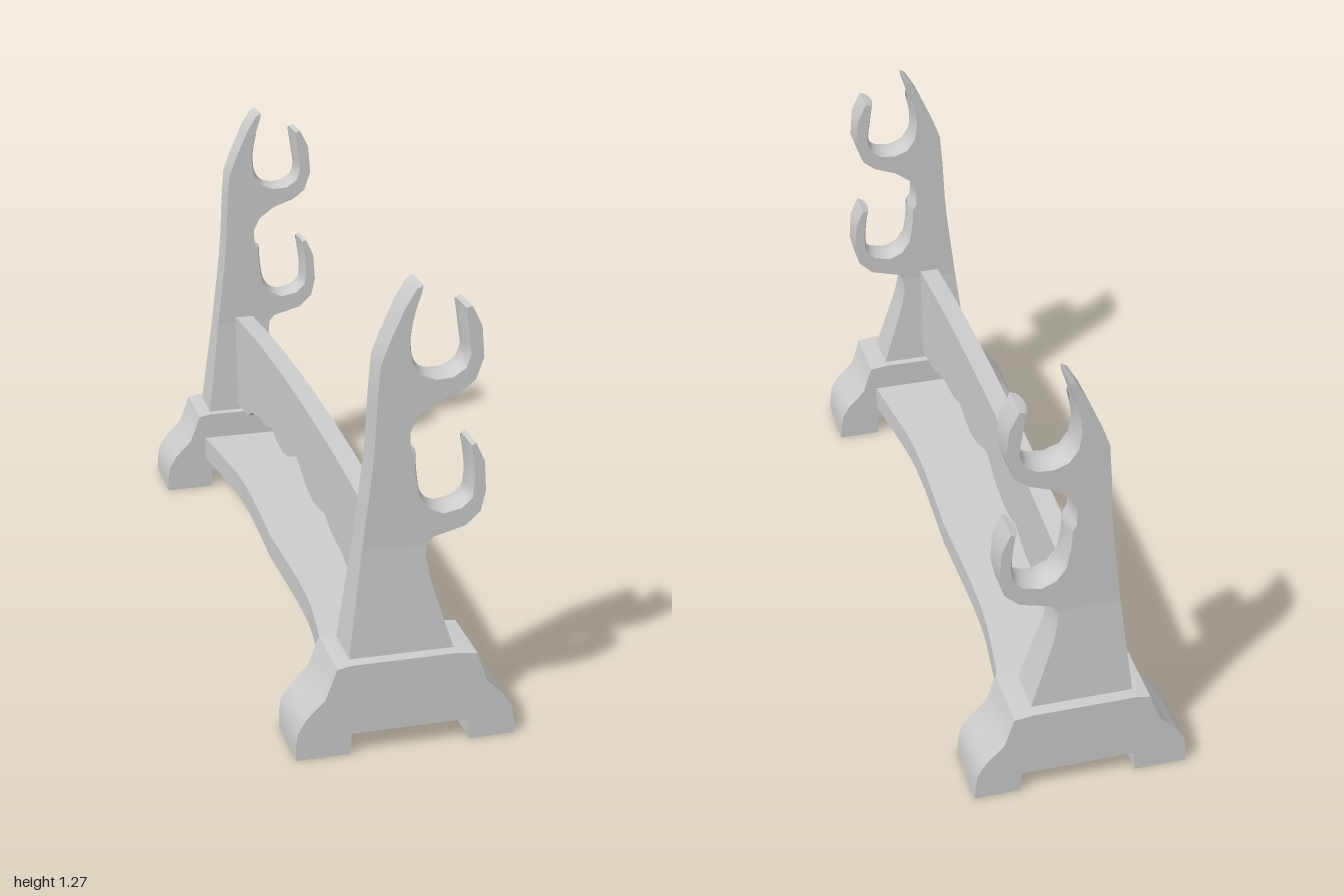
import * as THREE from 'three';
import { toCreasedNormals } from 'three/addons/utils/BufferGeometryUtils.js';

const grey = new THREE.MeshStandardMaterial({ color: 0xcccccc });
const greyThin = new THREE.MeshStandardMaterial({ color: 0xcccccc, side: THREE.DoubleSide });

// Extrudes an outline symmetrically about z = 0
function slab(points, depth) {
  const shape = new THREE.Shape(points.map(([x, y]) => new THREE.Vector2(x, y)));
  const geometry = new THREE.ExtrudeGeometry(shape, { depth, bevelEnabled: false });
  return geometry.translate(0, 0, -depth / 2);
}

function part(name, geometry, material = grey) {
  const mesh = new THREE.Mesh(toCreasedNormals(geometry, 0.6), material);
  mesh.name = name;
  return mesh;
}

// Mirrors a half outline, running from the outer end to the centre line, across x = 0
const mirrored = (half) => [...half, ...half.filter(([x]) => x !== 0).reverse().map(([x, y]) => [-x, y])];

// Slots that hold the rests, left lip to right lip
const upperSlot = [
  [0.02, 1.2], [0.01, 1.155], [0.007, 1.115], [0.015, 1.065], [0.04, 1.03], [0.08, 1.015],
  [0.124, 1.018], [0.158, 1.04], [0.17, 1.075], [0.164, 1.13], [0.154, 1.2],
];
const lowerSlot = [
  [0.025, 0.815], [0.028, 0.763], [0.04, 0.697], [0.067, 0.66], [0.107, 0.643],
  [0.157, 0.653], [0.185, 0.68], [0.19, 0.73], [0.186, 0.78], [0.178, 0.827],
];

// Curved tip and two hooks
const hookOutline = [
  [-0.112, 0.56], [-0.087, 0.77], [-0.08, 0.85], [-0.075, 0.96], [-0.067, 1.065], [-0.047, 1.12],
  [-0.007, 1.21], [0.023, 1.26], [0.04, 1.27], [0.037, 1.25],
  ...upperSlot,
  [0.17, 1.205], [0.197, 1.15], [0.204, 1.065], [0.184, 1.007], [0.147, 0.978], [0.08, 0.954],
  [0.033, 0.92], [0.013, 0.88], [0.015, 0.83],
  ...lowerSlot,
  [0.19, 0.832], [0.214, 0.78], [0.22, 0.697], [0.207, 0.64], [0.167, 0.603], [0.08, 0.58], [0.063, 0.56],
];

const stemOutline = [
  [-0.15, 0.255], [0.138, 0.255], [0.073, 0.46], [0.06, 0.525], [0.063, 0.56], [-0.112, 0.56],
];

const footOutline = [
  [-0.302, 0], [-0.155, 0], [-0.15, 0.06], [0.17, 0.06], [0.175, 0], [0.302, 0], [0.3, 0.04],
  [0.294, 0.08], [0.27, 0.12], [0.22, 0.17], [0.192, 0.255], [0.14, 0.262],
  [-0.15, 0.262], [-0.19, 0.255], [-0.222, 0.17], [-0.272, 0.12], [-0.296, 0.08], [-0.302, 0.04],
];

// Stem grows thicker toward the foot
function stemGeometry() {
  const geometry = slab(stemOutline, 2);
  const p = geometry.attributes.position;
  for (let i = 0; i < p.count; i++) {
    p.setZ(i, p.getZ(i) * (0.047 + 0.02 * (0.56 - p.getY(i)) / 0.3));
  }
  return geometry;
}

// Padded strip lining a slot, bulging in the middle of its width
function liningGeometry(slot) {
  const path = new THREE.CatmullRomCurve3(slot.map(([x, y]) => new THREE.Vector3(x, y, 0)));
  const rows = 28, cols = 8, positions = [], index = [];
  for (let i = 0; i <= rows; i++) {
    const p = path.getPoint(i / rows), t = path.getTangent(i / rows);
    for (let j = 0; j <= cols; j++) {
      const s = (j / cols) * 2 - 1;
      const lift = 0.001 + 0.011 * (1 - s * s);
      positions.push(p.x - t.y * lift, p.y + t.x * lift, s * 0.046);
      if (i < rows && j < cols) {
        const a = i * (cols + 1) + j, b = a + cols + 1;
        index.push(a, a + 1, b, b, a + 1, b + 1);
      }
    }
  }
  const geometry = new THREE.BufferGeometry();
  geometry.setAttribute('position', new THREE.Float32BufferAttribute(positions, 3));
  geometry.setIndex(index);
  geometry.computeVertexNormals();
  return geometry;
}

function createStand(name, side) {
  const stand = new THREE.Group();
  stand.name = name;
  const foot = part('foot', slab(footOutline, 0.194));
  foot.position.z = side * 0.903;
  const upright = new THREE.Group();
  upright.name = 'upright';
  upright.position.z = side * 0.898;
  upright.add(
    part('stem', stemGeometry()),
    part('hooks', slab(hookOutline, 0.094)),
    part('upperLining', liningGeometry(upperSlot), greyThin),
    part('lowerLining', liningGeometry(lowerSlot), greyThin),
  );
  stand.add(foot, upright);
  return stand;
}

export function createModel() {
  const model = new THREE.Group();
  model.name = 'displayRack';
  model.add(createStand('frontStand', 1), createStand('backStand', -1));

  // Upright board with arched top and scalloped lower edge
  const boardLower = [
    [0.86, 0.283], [0.8, 0.285], [0.674, 0.3], [0.62, 0.33], [0.513, 0.358], [0.444, 0.361], [0.395, 0.37],
    [0.337, 0.392], [0.267, 0.376], [0.19, 0.37], [0.11, 0.385], [0, 0.43],
  ];
  const boardUpper = [[-0.86, 0.582], [-0.65, 0.602], [-0.45, 0.616], [-0.22, 0.624], [0, 0.627]];
  const board = part('crossBoard', slab([...mirrored(boardLower), ...mirrored(boardUpper)], 0.058));
  board.rotation.y = -Math.PI / 2;
  board.position.x = -0.024;
  model.add(board);

  // Flat shelf between the feet, waisted along its length
  const shelfSide = mirrored([
    [0.82, 0.176], [0.7, 0.16], [0.6, 0.147], [0.5, 0.135], [0.42, 0.13], [0.3, 0.129], [0.15, 0.133], [0, 0.138],
  ]);
  const shelfOutline = [...shelfSide, ...shelfSide.map(([z, x]) => [z, -x]).reverse()];
  const shelf = part('shelf', slab(shelfOutline.map(([z, x]) => [x, z]), 0.073));
  shelf.rotation.x = -Math.PI / 2;
  shelf.position.set(0.002, 0.142, 0);
  model.add(shelf);

  return model;
}
